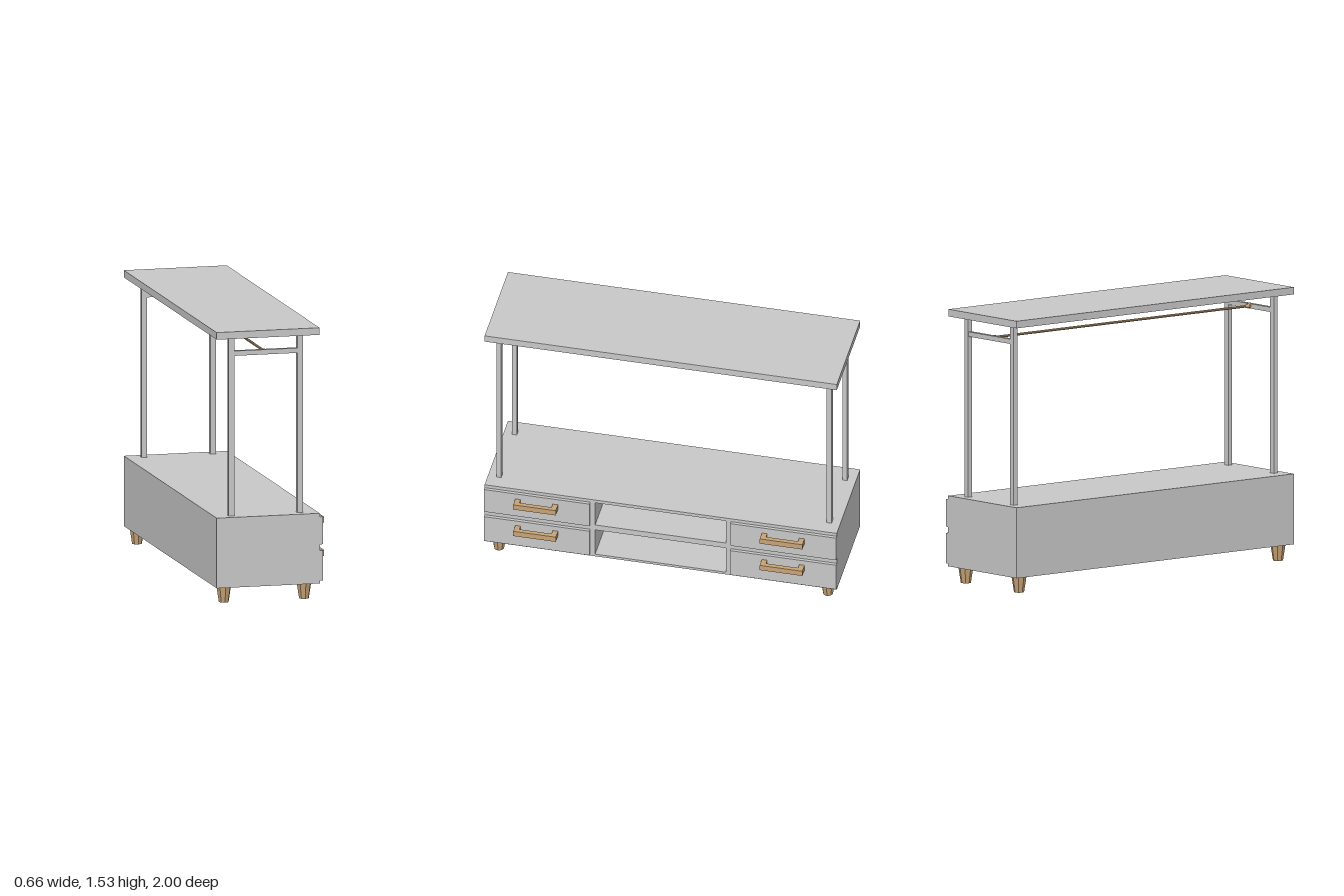
import * as THREE from 'three';

export function createModel() {
  const model = new THREE.Group();
  const grey = new THREE.MeshStandardMaterial({ color: 0xc8c8c8 });
  grey.name = 'greyPaint';
  const wood = new THREE.MeshStandardMaterial({ color: 0xc8a477, flatShading: true });
  wood.name = 'lightWood';

  const add = (name, geometry, material, parent = model) => {
    const mesh = new THREE.Mesh(geometry, material);
    mesh.name = name;
    parent.add(mesh);
    return mesh;
  };
  // Box given by its lower and upper bounds on each axis
  const box = (name, x0, x1, y0, y1, z0, z1, material, parent) => {
    const mesh = add(name, new THREE.BoxGeometry(x1 - x0, y1 - y0, z1 - z0), material, parent);
    mesh.position.set((x0 + x1) / 2, (y0 + y1) / 2, (z0 + z1) / 2);
    return mesh;
  };
  const rect = (path, u0, u1, v0, v1) =>
    path.moveTo(u0, v0).lineTo(u1, v0).lineTo(u1, v1).lineTo(u0, v1).closePath();

  const rows = [[0.105, 0.275], [0.31, 0.465]];

  // Cabinet carcass with two open cubbies facing +x, closed by a back panel
  const outline = new THREE.Shape();
  rect(outline, -1, 1, 0.09, 0.485);
  for (const [y0, y1] of rows) {
    const hole = new THREE.Path();
    rect(hole, -0.372, 0.372, y0, y1);
    outline.holes.push(hole);
  }
  const carcass = new THREE.ExtrudeGeometry(outline, { depth: 0.57, bevelEnabled: false });
  carcass.rotateY(Math.PI / 2);
  add('cabinet', carcass, grey).position.x = -0.312;
  box('backPanel', -0.333, -0.312, 0.09, 0.485, -1, 1, grey);

  // Drawers with bracket handles
  for (const side of [-1, 1]) {
    for (const [y0, y1] of rows) {
      const drawer = new THREE.Group();
      drawer.name = 'drawer';
      model.add(drawer);
      const zMid = side * 0.7;
      box('drawerFront', 0.258, 0.276, y0, y1, zMid - 0.3, zMid + 0.3, grey, drawer);
      const h0 = y0 < 0.2 ? 0.211 : 0.397, h1 = h0 + 0.033;
      box('handleBar', 0.306, 0.331, h0, h1, zMid - 0.121, zMid + 0.121, wood, drawer);
      for (const end of [-1, 1]) {
        const z = zMid + end * 0.106;
        box('handleMount', 0.276, 0.306, h0, h1, z - 0.015, z + 0.015, wood, drawer);
      }
    }
  }

  // Tapered feet
  for (const x of [-0.275, 0.185]) {
    for (const z of [-0.934, 0.934]) {
      const foot = add('foot', new THREE.CylinderGeometry(0.042, 0.028, 0.09, 8), wood);
      foot.position.set(x, 0.045, z);
    }
  }

  // Upright frames at both ends
  for (const z of [-0.938, 0.938]) {
    for (const x of [-0.235, 0.159]) {
      box('post', x - 0.016, x + 0.016, 0.485, 1.49, z - 0.014, z + 0.014, grey);
    }
    box('crossbar', -0.219, 0.143, 1.385, 1.412, z - 0.012, z + 0.012, grey);
  }

  // Hanging rail with flared ends
  const profile = [[0, -0.926], [0.013, -0.926], [0.013, -0.915], [0.007, -0.895],
    [0.007, 0.895], [0.013, 0.915], [0.013, 0.926], [0, 0.926]]
    .map(([r, y]) => new THREE.Vector2(r, y));
  const rail = add('hangingRail', new THREE.LatheGeometry(profile, 10), wood);
  rail.rotation.x = Math.PI / 2;
  rail.position.set(-0.038, 1.399, 0);

  // Top shelf
  box('topShelf', -0.333, 0.257, 1.49, 1.53, -1, 1, grey);

  return model;
}
